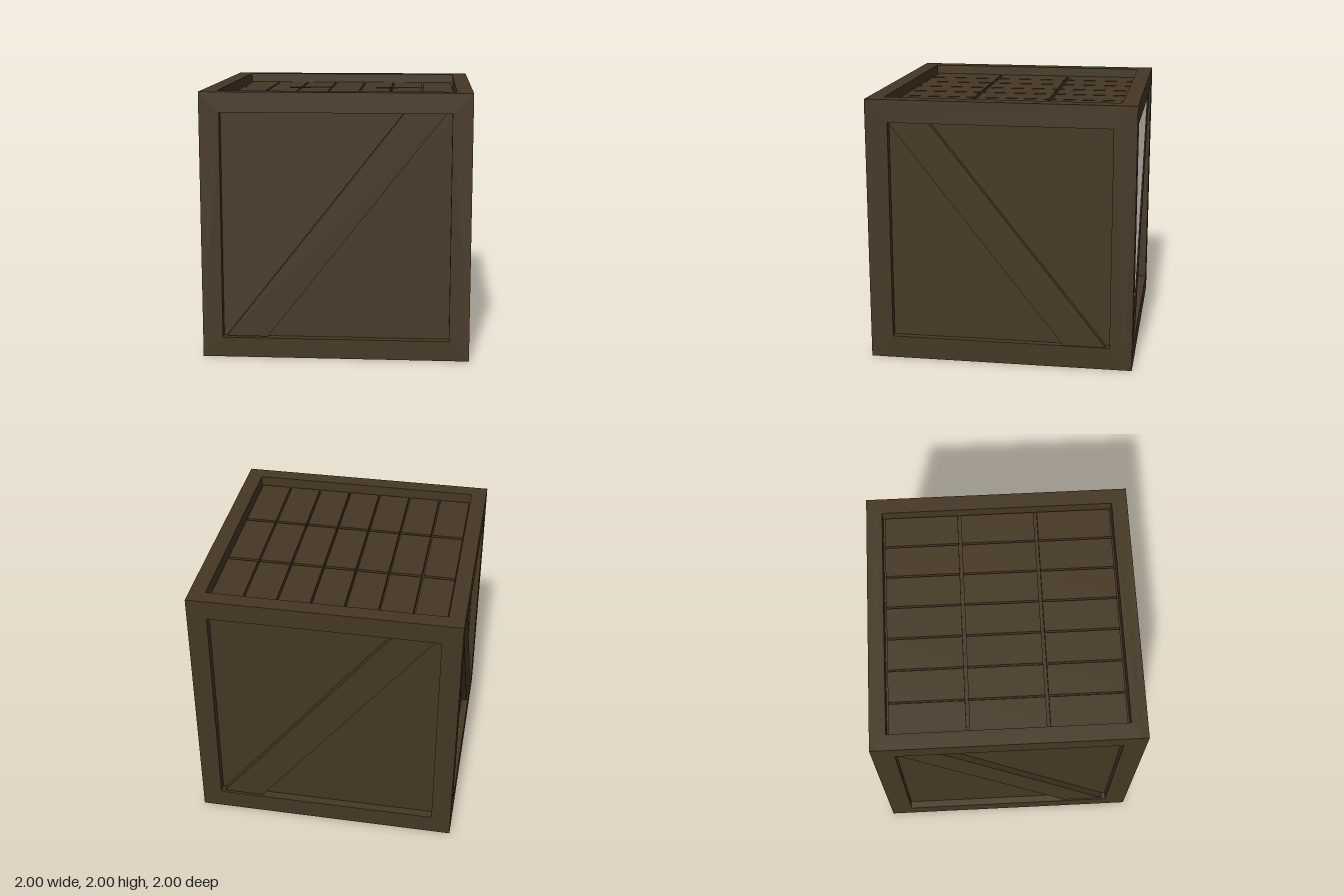
import * as THREE from 'three';

const WOOD = new THREE.MeshStandardMaterial({ color: 0x453723 });
WOOD.name = 'dark wood';

// Depths of the recesses behind each frame
const FRONT = 0.065, SIDE = 0.055, TOP = 0.11;

function polygon(points) {
  return new THREE.Shape(points.map(([x, y]) => new THREE.Vector2(x, y)));
}

function rectangle(x0, y0, x1, y1) {
  return [[x0, y0], [x1, y0], [x1, y1], [x0, y1]];
}

function slab(name, outline, depth, hole) {
  const shape = polygon(outline);
  if (hole) shape.holes.push(polygon(hole));
  const mesh = new THREE.Mesh(new THREE.ExtrudeGeometry(shape, { depth, bevelEnabled: false }), WOOD);
  mesh.name = name;
  return mesh;
}

function box(name, w, h, d, x, y, z) {
  const mesh = new THREE.Mesh(new THREE.BoxGeometry(w, h, d), WOOD);
  mesh.name = name;
  mesh.position.set(x, y, z);
  return mesh;
}

// One upright face: a frame with a diagonal brace set just below its surface
function wall(name, angle, halfWidth, depth, inset, brace) {
  const group = new THREE.Group();
  group.name = name;
  const frame = slab(name + 'Frame', rectangle(-halfWidth, 0, halfWidth, 2), depth,
    rectangle(-1 + inset, inset, 1 - inset, 2 - inset));
  const plank = slab(name + 'Brace', brace, depth - 0.01);
  frame.position.z = plank.position.z = 1 - depth;
  group.add(frame, plank);
  group.rotation.y = angle;
  return group;
}

export function createModel() {
  const crate = new THREE.Group();
  crate.name = 'crate';

  // Solid body behind the frames
  const w = 1 - SIDE, d = 1 - FRONT, h = 2 - TOP;
  crate.add(box('body', 2 * w, h, 2 * d, 0, h / 2, 0));

  // Opposite walls repeat by a half turn
  const rising = [[-0.82, 0.16], [-0.51, 0.16], [0.81, 1.85], [0.5, 1.85]];
  const falling = [[-0.83, 1.83], [0.48, 0.17], [0.8, 0.17], [-0.52, 1.83]];
  crate.add(
    wall('front', 0, 1, FRONT, 0.15, rising),
    wall('back', Math.PI, 1, FRONT, 0.15, rising),
    wall('rightSide', Math.PI / 2, d, SIDE, 0.17, falling),
    wall('leftSide', -Math.PI / 2, d, SIDE, 0.17, falling),
  );

  // Lid frame
  const lid = slab('lidFrame', rectangle(-w, -d, w, d), TOP, rectangle(-0.88, -0.88, 0.88, 0.88));
  lid.rotation.x = -Math.PI / 2;
  lid.position.y = h;
  crate.add(lid);

  // Lid slats, seven across and three deep
  const slats = new THREE.Group();
  slats.name = 'lidSlats';
  for (let row = -1; row <= 1; row++) {
    for (let col = -3; col <= 3; col++) {
      slats.add(box('lidSlat', 0.235, 0.04, 0.56, col * 0.25, h + 0.02, row * 0.585));
    }
  }
  crate.add(slats);

  return crate;
}
